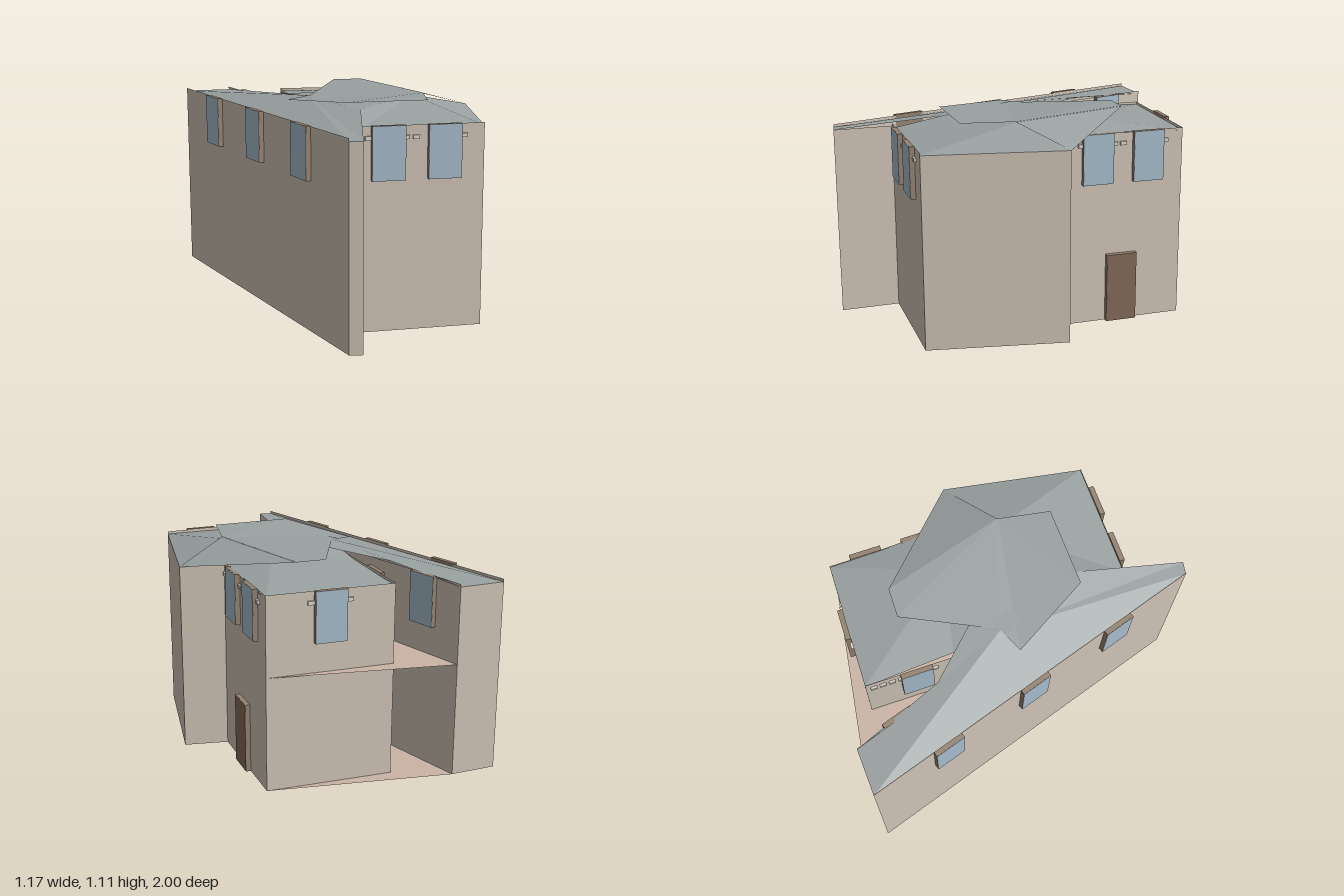
import * as THREE from 'three';

const mat = (color) => new THREE.MeshStandardMaterial({ color, side: THREE.DoubleSide, flatShading: true });

export function createModel() {
  const model = new THREE.Group();
  model.name = 'house';
  const wallMat = mat(0xd2c6b9), roofMat = mat(0x9aa1a1), floorMat = mat(0xcbb4a6);
  const frameMat = mat(0x95826f), glassMat = mat(0xa9bfcf), doorMat = mat(0x846b5a), trimMat = mat(0xe0dad2);

  // Flat or folded sheet: a fan of triangles from the first point
  function sheet(name, material, pts) {
    const pos = [];
    for (let i = 1; i < pts.length - 1; i++) pos.push(...pts[0], ...pts[i], ...pts[i + 1]);
    const g = new THREE.BufferGeometry();
    g.setAttribute('position', new THREE.Float32BufferAttribute(pos, 3));
    g.computeVertexNormals();
    const m = new THREE.Mesh(g, material);
    m.name = name;
    model.add(m);
  }

  // Footprint corners (x, z)
  const P = {
    L: [-0.56, 0.97], K: [-0.5, 1.0], I: [-0.41, 0.7], H: [0.24, 0.9], G: [0.58, 0.24], F: [0.37, 0.13],
    E: [0.565, -0.5], D: [-0.08, -0.72], C: [-0.32, 0.06], B: [-0.32, -0.935], A: [-0.56, -1.0],
  };
  const LOW = 1.02, HIGH = 1.035;
  const at = (k, y = LOW) => [P[k][0], y, P[k][1]];

  // Walls; those with windows stand slightly taller
  const tall = ['IH', 'FE', 'ED', 'DC', 'CB', 'AL'];
  const ring = 'LKIHGFEDCBA';
  for (let i = 0; i < ring.length; i++) {
    const a = ring[i], b = ring[(i + 1) % ring.length];
    const h = tall.includes(a + b) ? HIGH : LOW;
    sheet('wall', wallMat, [at(a, 0), at(b, 0), at(b, h), at(a, h)]);
  }

  // Ground and upper floor slabs, spanning the recess at the back
  for (const y of [0, 0.61]) {
    const shape = new THREE.Shape([...'LKIHGFEBA'].map((k) => new THREE.Vector2(P[k][0], -P[k][1])));
    const slab = new THREE.Mesh(new THREE.ShapeGeometry(shape).rotateX(-Math.PI / 2), floorMat);
    slab.name = y ? 'upperFloor' : 'groundFloor';
    slab.position.y = y;
    model.add(slab);
  }

  // Group on the wall a-b, at fraction t along it, with local z facing outwards
  function onWall(wall, t, y, name) {
    const a = P[wall[0]], b = P[wall[1]];
    const g = new THREE.Group();
    g.name = name;
    g.position.set(a[0] + (b[0] - a[0]) * t, y, a[1] + (b[1] - a[1]) * t);
    g.rotation.y = -Math.atan2(b[1] - a[1], b[0] - a[0]);
    model.add(g);
    return g;
  }
  function box(g, name, w, h, d, z, material) {
    const m = new THREE.Mesh(new THREE.BoxGeometry(w, h, d), material);
    m.name = name;
    m.position.z = z;
    g.add(m);
  }

  // Windows and small trim blocks, by fraction along each wall
  const windows = { IH: [0.285, 0.7], FE: [0.275, 0.7], ED: [0.49], DC: [0.33], CB: [0.745], AL: [0.225, 0.497, 0.767] };
  const trims = {
    IH: [0.054, 0.14, 0.415, 0.49, 0.845], FE: [0.048, 0.14, 0.415, 0.49, 0.845],
    ED: [0.34, 0.64], DC: [0.05, 0.11, 0.17, 0.23, 0.45],
  };
  for (const wall in windows) {
    for (const t of windows[wall]) {
      const g = onWall(wall, t, 0.903, 'window');
      box(g, 'windowFrame', 0.168, 0.27, 0.026, 0.013, frameMat);
      box(g, 'windowGlass', 0.166, 0.268, 0.002, 0.0265, glassMat);
    }
  }
  for (const wall in trims) {
    for (const t of trims[wall]) box(onWall(wall, t, 0.977, 'trim'), 'trimBlock', 0.034, 0.02, 0.012, 0.006, trimMat);
  }

  // Door
  const door = onWall('FE', 0.485, 0.1875, 'door');
  box(door, 'doorFrame', 0.168, 0.375, 0.026, 0.013, frameMat);
  box(door, 'doorLeaf', 0.166, 0.373, 0.002, 0.0265, doorMat);

  // Sloping roofs: long wing, back block, front block
  sheet('wingRoof', roofMat, [
    [-0.26, 1.09, -0.02], at('L'), at('A'), at('B'), [-0.31, 1.05, -0.47], [-0.14, 1.085, -0.12],
    [0, 1.09, 0.2], [-0.23, 1.08, 0.5], at('K'), at('L'),
  ]);
  sheet('backRoof', roofMat, [
    [0.18, 1.09, -0.05], at('E'), at('D'), [-0.2, 1.04, -0.26], [-0.25, 1.085, 0],
    [0.2, 1.09, 0.3], [0.42, 1.04, 0], at('E'),
  ]);
  sheet('frontRoof', roofMat, [
    [0.2, 1.1, 0.3], at('G'), at('H'), [-0.36, LOW, 0.715], [-0.23, 1.08, 0.5],
    [-0.3, 1.09, 0], [0.1, 1.1, -0.1],
  ]);
  sheet('sideRoof', roofMat, [[0.25, 1.113, -0.34], at('G'), [0.24, 1.113, 0.34]]);

  // Flat plate that crowns the roof and overhangs the slopes
  sheet('roofPlate', roofMat, [
    [0.24, 1.114, 0.34], [0.11, 1.114, 0.59], [-0.3, 1.114, 0.47], [-0.4, 1.08, 0.01],
    [-0.25, 1.09, -0.01], [0.1, 1.114, -0.39], [0.25, 1.114, -0.34],
  ]);
  return model;
}
